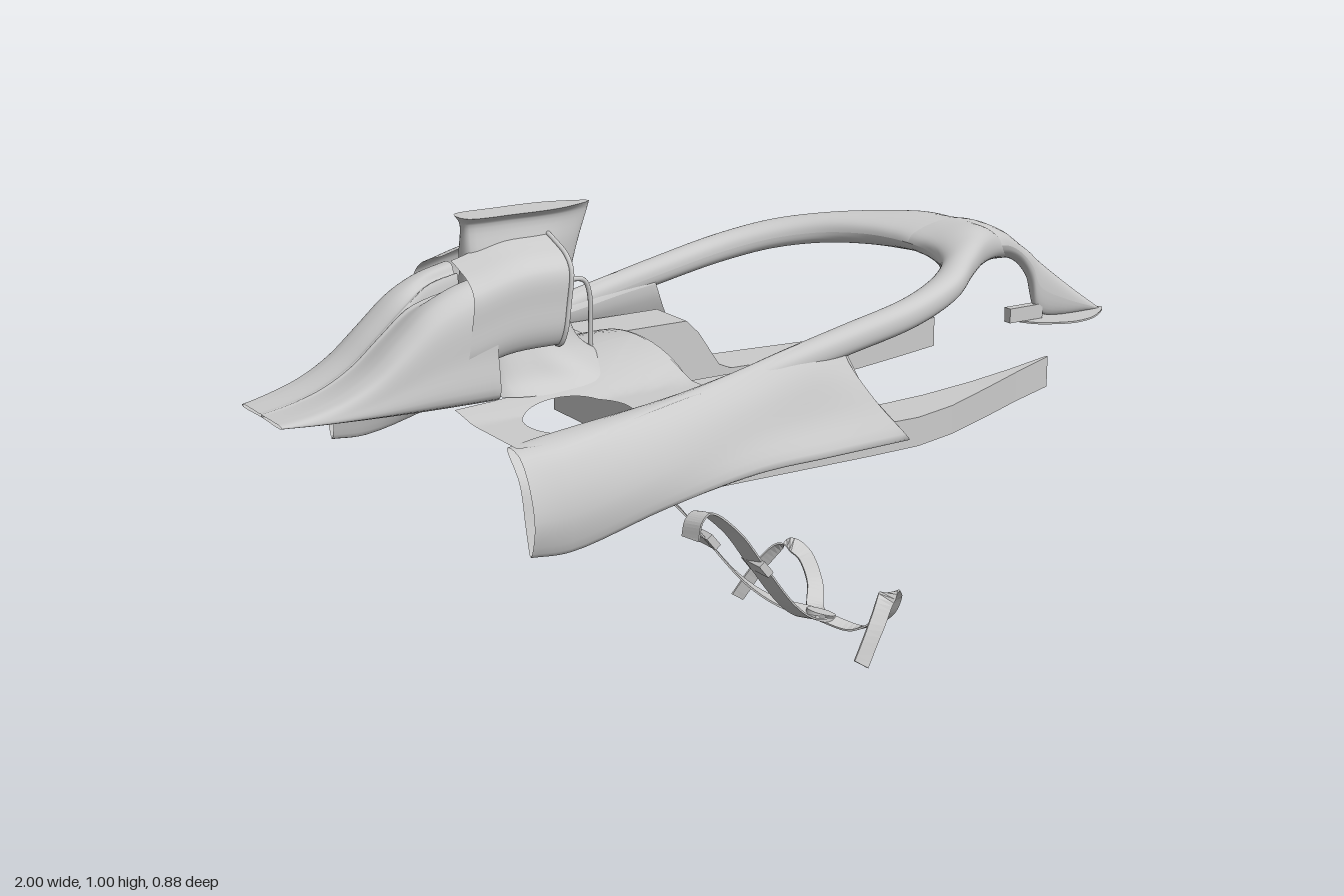
import * as THREE from 'three';

const mat = new THREE.MeshStandardMaterial({ color: 0xcccccc, side: THREE.DoubleSide });
const V = (x, y, z) => new THREE.Vector3(x, y, z);

function part(parent, name, geo) {
  const m = new THREE.Mesh(geo, mat);
  m.name = name;
  parent.add(m);
  return m;
}

// Both sides of a part that is described on the +z side only
function pair(parent, name, geo) {
  part(parent, name + 'Left', geo);
  part(parent, name + 'Right', geo).scale.z = -1;
}

// Indexed surface through rows of points
function skin(rows) {
  const n = rows[0].length, idx = [];
  for (let i = 0; i < rows.length - 1; i++)
    for (let j = 0; j < n - 1; j++) {
      const a = i * n + j, b = a + n;
      idx.push(a, b, a + 1, b, b + 1, a + 1);
    }
  const g = new THREE.BufferGeometry().setFromPoints(rows.flat());
  g.setIndex(idx);
  g.computeVertexNormals();
  return g;
}

// Smooth loft through a few cross-sections
function loft(sections, nu = 24, nv = 24, closed = false) {
  const cols = sections.map(s => new THREE.CatmullRomCurve3(s, closed).getPoints(nu));
  const lines = cols[0].map((_, j) => new THREE.CatmullRomCurve3(cols.map(c => c[j])).getPoints(nv));
  return skin(lines);
}

// Ring of the same length, shrunk to the middle of a section
function middle(s) {
  const c = V(0, 0, 0);
  s.forEach(p => c.addScaledVector(p, 1 / s.length));
  return s.map(() => c.clone());
}

function faceted(rows) {
  const g = skin(rows).toNonIndexed();
  g.computeVertexNormals();
  return g;
}

// Faceted loft with capped ends
function hardLoft(sections) {
  return faceted([middle(sections[0]), ...sections, middle(sections.at(-1))].map(s => [...s, s[0]]));
}

// Flat strap along a path, with its width kept near the given direction
function strap(points, widthDir, width, n = 40) {
  const curve = new THREE.CatmullRomCurve3(points);
  return faceted(curve.getPoints(n).map((p, i) => {
    const t = curve.getTangent(i / n);
    const w = widthDir.clone().addScaledVector(t, -widthDir.dot(t)).setLength(width / 2);
    const h = w.clone().cross(t).setLength(0.002);
    const at = (a, b) => p.clone().addScaledVector(w, a).addScaledVector(h, b);
    return [at(1, 1), at(-1, 1), at(-1, -1), at(1, -1), at(1, 1)];
  }));
}

// Height of the rear deck, with a hump behind the cockpit
function deckHeight(x, z) {
  const f = THREE.MathUtils.smoothstep(x, -0.6, -0.2);
  const hump = Math.max(0, 1 - (z / 0.2) ** 2);
  return 0.66 + 0.015 * f + hump * (0.02 + 0.025 * f) + 0.03 * f * THREE.MathUtils.smoothstep(z, 0.29, 0.35);
}

// Deck as a grid between a round hole and its outline
function deckGeometry() {
  const cx = -0.49, cz = 0.265, r = 0.103;
  const corners = [[-0.675, 0.13], [-0.42, 0.1], [-0.36, 0], [-0.21, 0], [-0.21, 0.36], [-0.6, 0.38], [-0.675, 0.37]];
  const edge = [];
  corners.forEach(([x, z], i) => {
    const [x2, z2] = corners[(i + 1) % corners.length];
    for (let k = 0; k < 12; k++) edge.push([x + (x2 - x) * k / 12, z + (z2 - z) * k / 12]);
  });
  edge.push(edge[0]);
  return skin(edge.map(([x, z]) => {
    const a = Math.atan2(z - cz, x - cx), row = [];
    for (let k = 0; k <= 10; k++) {
      const px = THREE.MathUtils.lerp(cx + r * Math.cos(a), x, k / 10);
      const pz = THREE.MathUtils.lerp(cz + r * Math.sin(a), z, k / 10);
      row.push(V(px, deckHeight(px, pz), pz));
    }
    return row;
  }));
}

// Hoop: upper and lower height along x, at equal steps from -0.3 to 0.75
const heights = list => new THREE.SplineCurve(list.map((y, i) => new THREE.Vector2(-0.3 + 0.15 * i, y)));
const hoopTop = heights([0.69, 0.73, 0.765, 0.795, 0.828, 0.854, 0.857, 0.785]);
const hoopBottom = heights([0.645, 0.675, 0.708, 0.735, 0.768, 0.788, 0.772, 0.742]);

function hoopSection([xi, zi, xo, zo]) {
  const ring = [];
  for (let k = 0; k < 16; k++) {
    const a = k * Math.PI / 8, u = (1 - Math.cos(a)) / 2, s = Math.sin(a);
    const x = THREE.MathUtils.lerp(xi, xo, u), t = THREE.MathUtils.clamp((x + 0.3) / 1.05, 0, 1);
    const top = hoopTop.getPoint(t).y, low = hoopBottom.getPoint(t).y;
    const y = (top + low) / 2 + Math.sign(s) * Math.abs(s) ** 0.8 * (top - low) / 2;
    ring.push(V(x, y, THREE.MathUtils.lerp(zi, zo, u)));
  }
  return ring;
}

export function createModel() {
  const root = new THREE.Group();
  root.name = 'cockpitBodywork';

  // Rear deck with round openings
  pair(root, 'rearDeck', deckGeometry());

  // Side panels: rail, outer wall, lower edge and inner wall
  const panel = [
    [-0.68, [0.34, 0.655], [0.385, 0.65], [0.42, 0.605], [0.438, 0.53], [0.42, 0.472], [0.405, 0.52], [0.385, 0.6]],
    [-0.6, [0.33, 0.662], [0.39, 0.658], [0.425, 0.605], [0.438, 0.53], [0.422, 0.468], [0.404, 0.52], [0.385, 0.6]],
    [-0.4, [0.315, 0.675], [0.36, 0.685], [0.4, 0.65], [0.43, 0.575], [0.428, 0.515], [0.398, 0.535], [0.37, 0.61]],
    [-0.2, [0.31, 0.69], [0.345, 0.722], [0.385, 0.685], [0.415, 0.61], [0.435, 0.55], [0.39, 0.553], [0.345, 0.62]],
    [-0.05, [0.312, 0.715], [0.342, 0.755], [0.377, 0.715], [0.41, 0.62], [0.438, 0.555], [0.392, 0.557], [0.338, 0.635]],
  ].map(([x, ...p]) => p.map(([z, y]) => V(x, y, z)));
  const front = [V(0.03, 0.725, 0.315), V(0.03, 0.765, 0.342), V(0.04, 0.71, 0.374), V(0.085, 0.63, 0.41),
    V(0.14, 0.558, 0.438), V(0.14, 0.56, 0.394), V(0.07, 0.645, 0.34)];
  const rim = new THREE.CatmullRomCurve3(front, true).getPoints(32);
  pair(root, 'sidePanel', loft([...panel, front], 32, 30, true));
  pair(root, 'sidePanelEnd', skin([rim, middle(rim)]));

  // Protective hoop, spreading into the strut: inner x, z and outer x, z
  pair(root, 'hoop', loft([[-0.3, 0.315, -0.3, 0.36], [-0.1, 0.314, -0.1, 0.37], [0.05, 0.313, 0.05, 0.373], [0.2, 0.308, 0.21, 0.369],
    [0.3, 0.272, 0.335, 0.33], [0.38, 0.21, 0.44, 0.246], [0.43, 0.13, 0.54, 0.16], [0.451, 0.06, 0.635, 0.085],
    [0.456, 0, 0.74, 0]].map(hoopSection), 40, 70, true));

  // Front strut: x, top, bottom, half width
  const strut = [[0.58, 0.858, 0.785, 0.09], [0.63, 0.85, 0.77, 0.082],
    [0.7, 0.82, 0.762, 0.045], [0.75, 0.785, 0.742, 0.024], [0.785, 0.76, 0.7, 0.016], [0.81, 0.738, 0.625, 0.014],
    [0.88, 0.685, 0.607, 0.014], [0.95, 0.635, 0.606, 0.012], [0.99, 0.608, 0.605, 0.004]];
  part(root, 'frontStrut', loft(strut.map(([x, t, b, w]) => {
    const m = (t + b) / 2, ring = [];
    for (let k = 0; k < 12; k++) {
      const a = k * Math.PI / 6;
      ring.push(V(x, m + Math.sin(a) * (t - b) / 2, Math.cos(a) * w));
    }
    return ring;
  }), 24, 50, true));
  part(root, 'strutFairing', loft([[0.5, 0.79, 0.06], [0.55, 0.772, 0.04], [0.6, 0.75, 0.018], [0.64, 0.748, 0.012]].map(([x, y, w]) =>
    [V(x, 0.82, -w - 0.03), V(x, y + 0.01, -w), V(x, y, 0), V(x, y + 0.01, w), V(x, 0.82, w + 0.03)]), 16, 12));

  // Foot of the strut
  const leaf = new THREE.Shape();
  leaf.moveTo(0.765, 0);
  leaf.splineThru([[0.79, 0.035], [0.84, 0.062], [0.88, 0.068], [0.93, 0.055], [0.99, 0.012], [0.99, -0.012], [0.93, -0.055],
    [0.88, -0.068], [0.84, -0.062], [0.79, -0.035], [0.765, 0]].map(p => new THREE.Vector2(...p)));
  part(root, 'strutFoot', new THREE.ExtrudeGeometry(leaf, { depth: 0.004, bevelEnabled: false, curveSegments: 40 })
    .rotateX(Math.PI / 2).translate(0, 0.609, 0));
  part(root, 'strutTab', new THREE.BoxGeometry(0.09, 0.032, 0.02).translate(0.775, 0.626, 0));

  // Cockpit surround: x, outer z, top, bottom
  const sides = [[-0.22, 0.312, 0.67, 0.49], [0.03, 0.312, 0.67, 0.49], [0.06, 0.312, 0.64, 0.49], [0.11, 0.312, 0.565, 0.49],
    [0.14, 0.312, 0.552, 0.49], [0.26, 0.308, 0.55, 0.49], [0.36, 0.287, 0.553, 0.493], [0.48, 0.248, 0.562, 0.5],
    [0.58, 0.219, 0.573, 0.51], [0.68, 0.198, 0.587, 0.521]];
  pair(root, 'cockpitSide', hardLoft(sides.map(([x, o, t, b]) =>
    [V(x, b, 0.193), V(x, t, 0.193), V(x, t, o), V(x, b, o)])));
  const back = new THREE.Shape();
  back.moveTo(-0.31, 0.49);
  back.lineTo(0.31, 0.49);
  back.lineTo(0.31, 0.67);
  back.lineTo(0.19, 0.67);
  back.bezierCurveTo(0.1, 0.735, -0.1, 0.735, -0.19, 0.67);
  back.lineTo(-0.31, 0.67);
  part(root, 'cockpitBulkhead', new THREE.ExtrudeGeometry(back, { depth: 0.02, bevelEnabled: false, curveSegments: 24 })
    .rotateY(Math.PI / 2).translate(-0.225, 0, 0));

  // Air intake tower: height, back x, front x, half width
  const tower = [[0.675, -0.57, -0.24, 0.15], [0.7, -0.57, -0.29, 0.122], [0.74, -0.57, -0.345, 0.1], [0.8, -0.58, -0.365, 0.072],
    [0.86, -0.58, -0.355, 0.037], [0.93, -0.58, -0.335, 0.029], [0.985, -0.58, -0.315, 0.021], [1, -0.585, -0.31, 0.037]];
  const rings = tower.map(([y, b, f, w]) => [V(f, y, 0), V(f - 0.05, y, w * 0.7), V(f - 0.1, y, w), V((b + f) / 2 - 0.04, y, w),
    V(b, y, w * 0.75), V(b, y, -w * 0.75), V((b + f) / 2 - 0.04, y, -w), V(f - 0.1, y, -w), V(f - 0.05, y, -w * 0.7)]);
  part(root, 'intakeTower', loft(rings, 48, 36, true));
  part(root, 'towerTop', new THREE.ShapeGeometry(new THREE.Shape(
    new THREE.CatmullRomCurve3(rings.at(-1), true).getPoints(48).map(p => new THREE.Vector2(p.x, p.z))))
    .rotateX(Math.PI / 2).translate(0, 1, 0));

  // Side scoops, open at the front
  const scoop = [[-0.415, 0], [-0.43, 0], [-0.52, -0.003], [-0.62, -0.028]].map(([x, d]) => [
    [0.02, 0.952], [0.05, 0.943], [0.1, 0.924], [0.124, 0.9], [0.128, 0.84], [0.126, 0.785], [0.11, 0.758], [0.06, 0.765], [0.02, 0.78],
  ].map(([z, y]) => V(x - (0.94 - y) * 0.14, y + d, z)));
  pair(root, 'sideScoop', loft(scoop, 40, 16));
  pair(root, 'scoopLip', new THREE.TubeGeometry(new THREE.CatmullRomCurve3(scoop[0]), 40, 0.005, 8));

  // Thin bracket ahead of the tower
  part(root, 'bracket', new THREE.TubeGeometry(new THREE.CatmullRomCurve3(
    [V(-0.36, 0.85, 0), V(-0.325, 0.845, 0), V(-0.313, 0.82, 0), V(-0.312, 0.7, 0)]), 24, 0.005, 8));

  // Tail cover with twin ridges and a slot: x, slot, top, width
  const tail = [[-0.58, 0.032, 0.9, 0.128], [-0.64, 0.03, 0.885, 0.127], [-0.7, 0.004, 0.855, 0.125], [-0.76, 0, 0.803, 0.122],
    [-0.82, 0, 0.75, 0.118], [-0.88, 0, 0.715, 0.112], [-0.94, 0, 0.695, 0.104], [-1, 0, 0.683, 0.09]];
  pair(root, 'tailCover', loft(tail.map(([x, s, t, w]) => {
    const y = k => 0.678 + (t - 0.678) * k;
    return [V(x, y(0), s), V(x, y(0.93), s), V(x, y(0.92), s + 0.012), V(x, y(0.99), 0.055), V(x, y(0.98), w * 0.7),
      V(x, y(0.83), w * 0.93), V(x, y(0.4), w), V(x, y(0), w), V(x, y(0), s)];
  }), 48, 30));

  // Seat harness
  const harness = new THREE.Group();
  harness.name = 'harness';
  root.add(harness);
  pair(harness, 'shoulderStrap', strap([V(-0.162, 0.32, 0.125), V(-0.152, 0.355, 0.123), V(-0.13, 0.368, 0.12), V(-0.06, 0.315, 0.113),
    V(0.015, 0.22, 0.098), V(0.1, 0.115, 0.079), V(0.17, 0.06, 0.05), V(0.24, 0.035, 0.015)], V(0.2, 0.15, 1), 0.05));
  pair(harness, 'strapAdjuster', new THREE.BoxGeometry(0.035, 0.016, 0.068).rotateZ(-0.9).translate(0.015, 0.222, 0.099));
  pair(harness, 'lapStrap', strap([V(0.245, 0.03, 0.01), V(0.285, 0.02, 0.08), V(0.318, 0.055, 0.13), V(0.312, 0.11, 0.168),
    V(0.28, 0.13, 0.19), V(0.235, 0.085, 0.215), V(0.183, 0.012, 0.233)], V(1, 0, 0), 0.038));
  part(harness, 'buckle', new THREE.CylinderGeometry(0.032, 0.032, 0.016, 24).rotateZ(-0.3).translate(0.243, 0.033, 0));

  return root;
}
